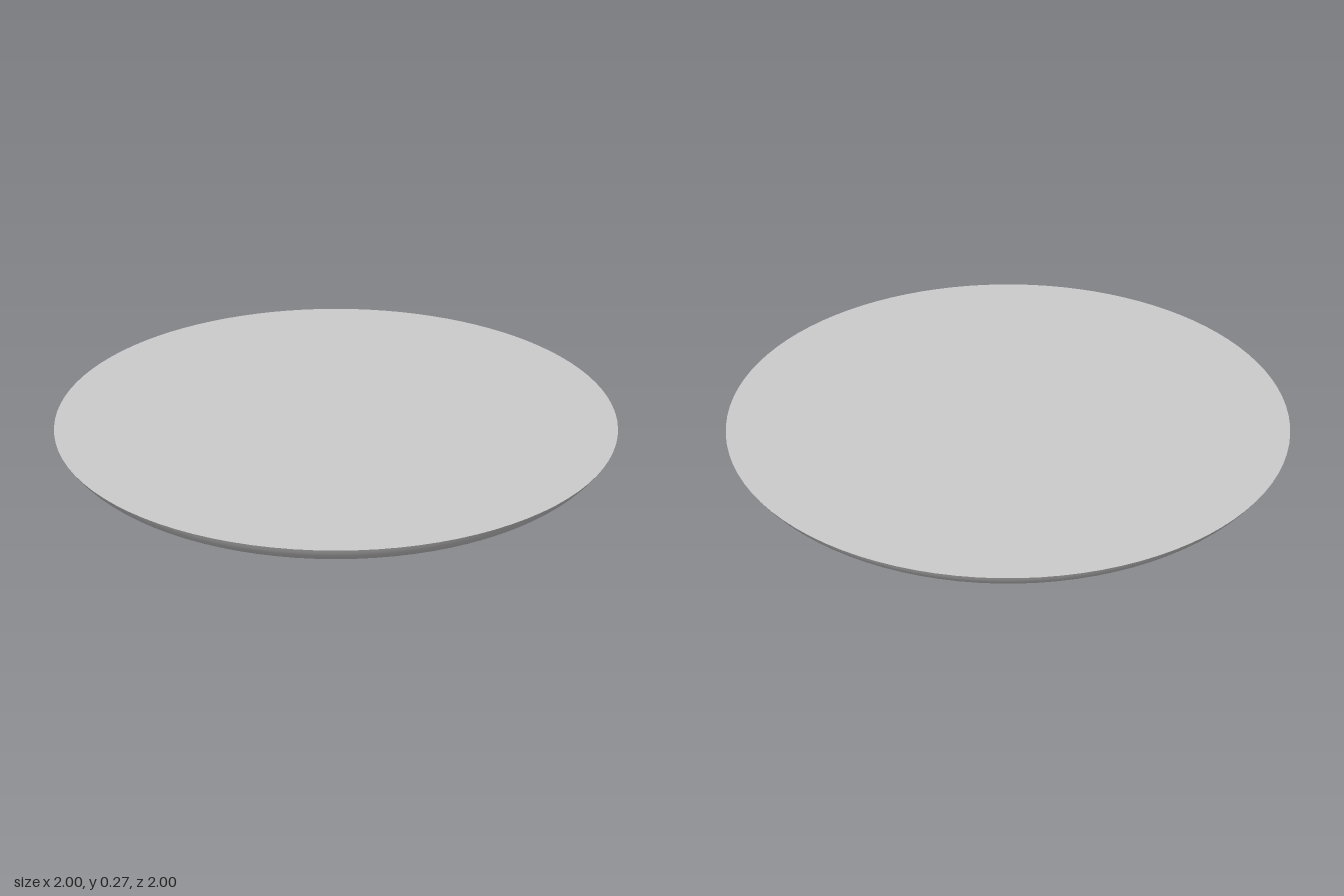
import * as THREE from 'three';

const SEGMENTS = 96;

export function createModel() {
  const model = new THREE.Group();
  const grey = new THREE.MeshStandardMaterial({ color: 0xcccccc });
  const gold = new THREE.MeshStandardMaterial({ color: 0xc9a41f });

  const add = (name, geometry, material, y = 0) => {
    const mesh = new THREE.Mesh(geometry, material);
    mesh.name = name;
    mesh.position.y = y;
    model.add(mesh);
    return mesh;
  };
  // Profiles run from the lower centre outwards and up
  const lathe = (points) =>
    new THREE.LatheGeometry(points.map(([r, y]) => new THREE.Vector2(r, y)), SEGMENTS);

  // Flat mounting plate closing the top
  const plate = new THREE.CircleGeometry(1, SEGMENTS);
  plate.rotateX(-Math.PI / 2);
  add('topPlate', plate, grey, 0.27);

  // Outer housing with a rounded rim
  const rim = new THREE.CubicBezierCurve(
    new THREE.Vector2(0.87, 0.187), new THREE.Vector2(0.925, 0.187),
    new THREE.Vector2(0.965, 0.212), new THREE.Vector2(1, 0.27));
  const rimPoints = rim.getPoints(14).map((p) => [p.x, p.y]);
  add('housingRim', lathe([[0.84, 0.187], ...rimPoints]), grey);

  // Shallow stepped grooves between rim and trim ring
  add('innerLip', lathe([[0.77, 0.184], [0.8, 0.184], [0.805, 0.188], [0.815, 0.188],
    [0.82, 0.185], [0.83, 0.185], [0.84, 0.187]]), grey);

  // Diffuser: sloped collar and shallow dome with a crease between them
  add('diffuserCollar', lathe([[0.6, 0.108], [0.64, 0.123], [0.69, 0.144],
    [0.74, 0.165], [0.78, 0.185]]), grey);
  const dome = [];
  for (let i = 0; i <= 16; i++) {
    const r = (0.6 * i) / 16;
    dome.push([r, 0.04 + 0.068 * (r / 0.6) ** 2.1]);
  }
  add('diffuserDome', lathe(dome), grey);

  // Thin trim ring around the diffuser
  const ring = new THREE.TorusGeometry(0.778, 0.008, 10, SEGMENTS);
  ring.rotateX(Math.PI / 2);
  add('trimRing', ring, gold, 0.181);

  // Flattened finial at the centre
  const finial = new THREE.SphereGeometry(0.088, 40, 20);
  finial.scale(1, 0.3, 1);
  add('finial', finial, gold, 0.03);

  return model;
}
